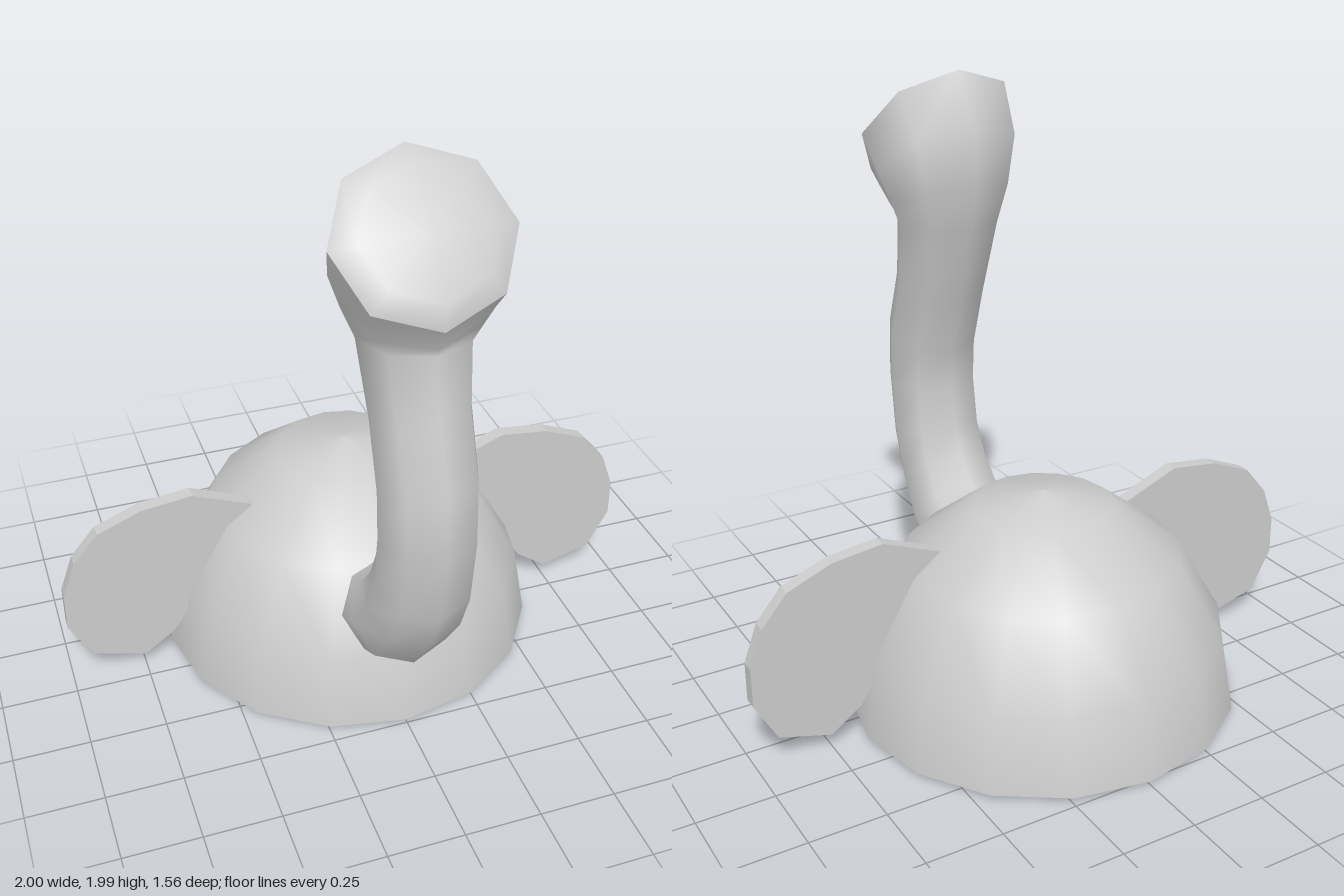
import * as THREE from 'three';

const material = new THREE.MeshStandardMaterial({ color: 0xcccccc });
const thinMaterial = new THREE.MeshStandardMaterial({ color: 0xcccccc, side: THREE.DoubleSide });

function addMesh(parent, name, geometry, mat = material) {
  const mesh = new THREE.Mesh(geometry, mat);
  mesh.name = name;
  parent.add(mesh);
  return mesh;
}

// Skins octagonal rings given as [frontZ, frontY, backZ, backY, halfWidth]
function loft(rings, sides = 8) {
  const positions = [], index = [];
  for (const [fz, fy, bz, by, w] of rings) {
    for (let i = 0; i < sides; i++) {
      const a = (i / sides) * Math.PI * 2, c = Math.cos(a);
      positions.push(w * Math.sin(a), (fy + by) / 2 + c * (fy - by) / 2, (fz + bz) / 2 + c * (fz - bz) / 2);
    }
  }
  for (let r = 0; r < rings.length - 1; r++) {
    for (let i = 0; i < sides; i++) {
      const a = r * sides + i, b = r * sides + (i + 1) % sides;
      index.push(a, b, b + sides, a, b + sides, a + sides);
    }
  }
  const geometry = new THREE.BufferGeometry();
  geometry.setAttribute('position', new THREE.Float32BufferAttribute(positions, 3));
  geometry.setIndex(index);
  geometry.computeVertexNormals();
  return geometry;
}

const lathe = (points) => new THREE.LatheGeometry(points.map(([r, y]) => new THREE.Vector2(r, y)), 16);

export function createModel() {
  const model = new THREE.Group();
  model.name = 'longNeckedBird';

  // Hollow dome body: outer skin, inner skin and the rim joining them
  const body = new THREE.Group();
  body.name = 'body';
  body.position.z = -0.14;
  model.add(body);
  const outer = [[0.642, 0.015], [0.6, 0.265], [0.455, 0.515], [0.23, 0.685], [0, 0.73]];
  const inner = [[0, 0.67], [0.21, 0.63], [0.415, 0.47], [0.543, 0.245], [0.585, 0]];
  addMesh(body, 'bodyOuterShell', lathe(outer));
  addMesh(body, 'bodyInnerShell', lathe(inner));
  addMesh(body, 'bodyRim', lathe([inner[4], outer[0]]));

  // Curved neck, rooted in the dome wall and flaring into the head
  const rim = [0.705, 1.58, 0.38, 1.988, 0.272];
  addMesh(model, 'neck', loft([
    [0.43, 0.24, 0.255, 0.52, 0.175],
    [0.46, 0.255, 0.28, 0.54, 0.175],
    [0.545, 0.3, 0.345, 0.565, 0.17],
    [0.675, 0.475, 0.405, 0.64, 0.16],
    [0.75, 0.64, 0.445, 0.735, 0.155],
    [0.78, 0.88, 0.47, 0.88, 0.155],
    [0.77, 1.08, 0.46, 1.01, 0.155],
    [0.695, 1.28, 0.395, 1.21, 0.155],
    [0.655, 1.48, 0.31, 1.48, 0.175],
    [0.668, 1.51, 0.275, 1.63, 0.212],
    [0.69, 1.555, 0.275, 1.81, 0.252],
    rim,
  ]));

  // Slightly raised face closing the head
  addMesh(model, 'face', loft([rim, [0.7, 1.66, 0.457, 1.962, 0.2], [0.58, 1.81, 0.58, 1.81, 0]]));

  // Flat wings, mirrored, with inner edges buried in the dome wall
  const outline = [
    [0.35, 0.585], [0.55, 0.665], [0.72, 0.645], [0.87, 0.585], [0.955, 0.485], [1, 0.36],
    [1, 0.23], [0.925, 0.095], [0.75, 0.045], [0.645, 0.12], [0.59, 0.2], [0.56, 0.3], [0.44, 0.48],
  ];
  for (const side of [1, -1]) {
    const shape = new THREE.Shape(outline.map(([x, y]) => new THREE.Vector2(side * x, y)));
    const wing = addMesh(model, side > 0 ? 'leftWing' : 'rightWing',
      new THREE.ExtrudeGeometry(shape, { depth: 0.048, bevelEnabled: false }), thinMaterial);
    wing.position.z = -0.106;
  }
  return model;
}
